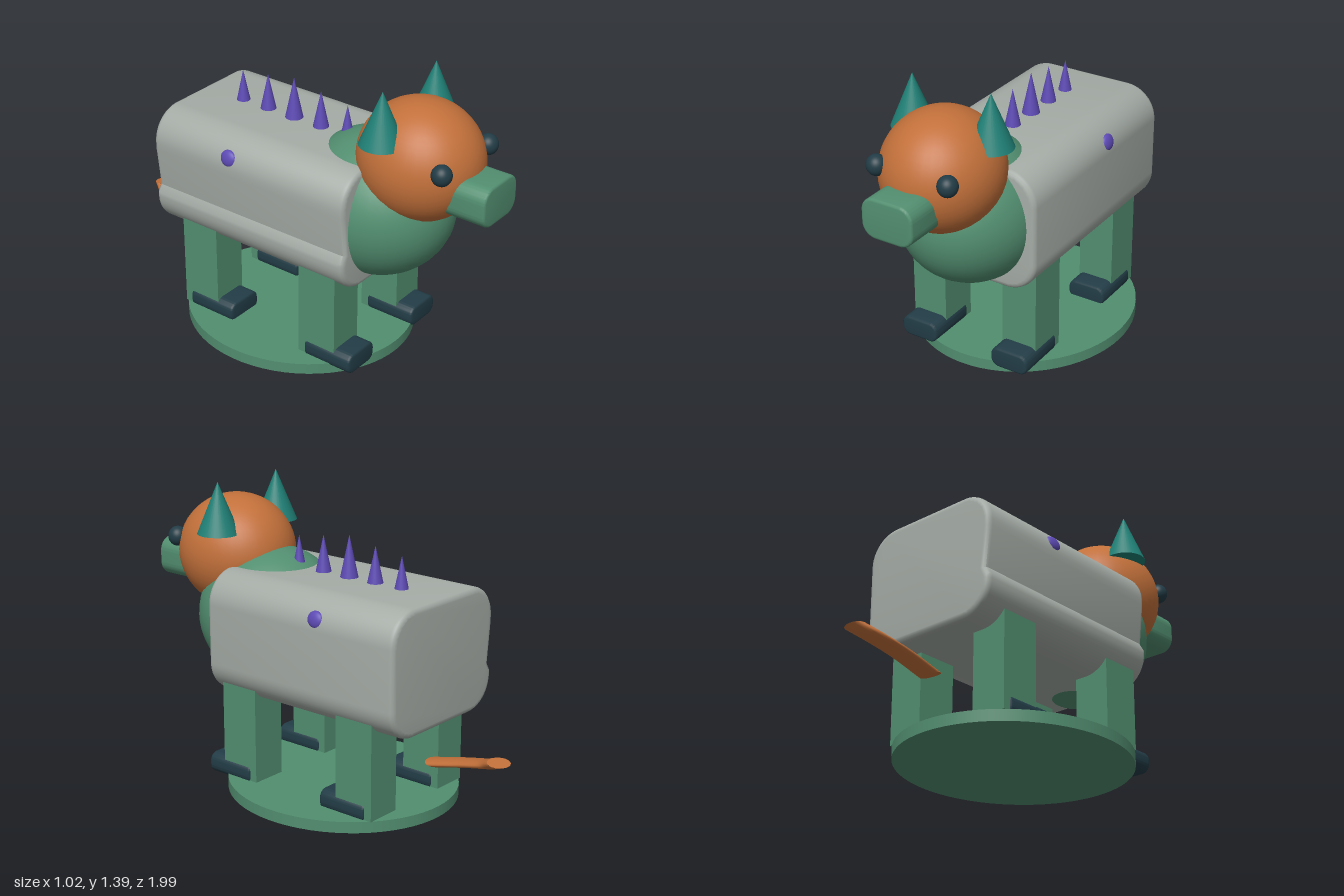
import * as THREE from 'three';
import { toCreasedNormals } from 'three/addons/utils/BufferGeometryUtils.js';

function flat(name, color) {
  const m = new THREE.MeshStandardMaterial({ color });
  m.name = name;
  return m;
}

// Rounded rectangle; notch points (if any) run up the -x side
function roundedRect(x0, x1, y0, y1, r, notch = []) {
  const s = new THREE.Shape();
  s.moveTo(x0 + r, y0);
  s.lineTo(x1 - r, y0);
  s.absarc(x1 - r, y0 + r, r, -Math.PI / 2, 0, false);
  s.absarc(x1 - r, y1 - r, r, 0, Math.PI / 2, false);
  s.absarc(x0 + r, y1 - r, r, Math.PI / 2, Math.PI, false);
  notch.forEach(([x, y]) => s.lineTo(x, y));
  s.absarc(x0 + r, y0 + r, r, Math.PI, Math.PI * 1.5, false);
  return s;
}

// Extrude a shape from z0 to z1 with softened rims that stay inside the outline
function softExtrude(shape, z0, z1, bevel) {
  const g = new THREE.ExtrudeGeometry(shape, {
    depth: z1 - z0 - 2 * bevel, curveSegments: 8, bevelEnabled: true,
    bevelThickness: bevel, bevelSize: bevel, bevelOffset: -bevel, bevelSegments: 3,
  });
  g.translate(0, 0, z0 + bevel);
  return toCreasedNormals(g, 0.6);
}

export function createModel() {
  const model = new THREE.Group();
  const green = flat('green', 0x528e70);
  const orange = flat('orange', 0xc2703a);
  const grey = flat('grey', 0xa5aca6);
  const dark = flat('dark slate', 0x223c46);
  const teal = flat('teal', 0x1f8076);
  const purple = flat('purple', 0x5d4ab4);

  function add(name, geometry, material, x = 0, y = 0, z = 0, parent = model) {
    const mesh = new THREE.Mesh(geometry, material);
    mesh.name = name;
    mesh.position.set(x, y, z);
    parent.add(mesh);
    return mesh;
  }
  const ball = (rx, ry, rz) => new THREE.SphereGeometry(1, 40, 28).scale(rx, ry, rz);

  // Oval stand
  add('base', new THREE.CylinderGeometry(1, 1, 0.052, 64).scale(0.508, 1, 0.55), green, 0, 0.026, -0.045);

  // Trunk with a groove along its -x side
  const trunk = roundedRect(-0.357, 0.357, 0.437, 1.01, 0.15, [[-0.357, 0.83], [-0.336, 0.64], [-0.357, 0.605]]);
  add('body', softExtrude(trunk, -0.61, 0.457, 0.025), grey);

  // Chest, head and snout
  add('chest', ball(0.324, 0.331, 0.362), green, 0, 0.75, 0.383);
  add('head', ball(0.265, 0.27, 0.284), orange, 0, 1.025, 0.602);
  add('snout', softExtrude(roundedRect(-0.126, 0.126, 0.858, 1.042, 0.065), 0.7, 1, 0.012), green);

  // Legs, feet, ears, eyes and side spots, mirrored
  for (const side of [-1, 1]) {
    for (const [place, z] of [['front', 0.297], ['back', -0.377]]) {
      add(place + 'Leg', new THREE.BoxGeometry(0.173, 0.458, 0.198), green, side * 0.24, 0.28, z);
      const foot = softExtrude(roundedRect(-0.094, 0.094, 0.032, 0.13, 0.04), -0.126, 0.126, 0.012);
      add(place + 'Foot', foot, dark, side * 0.241, 0, z + 0.063);
    }
    add('ear', new THREE.ConeGeometry(0.098, 0.238, 32), teal, side * 0.195, 1.267, 0.533);
    add('eye', ball(0.045, 0.047, 0.045), dark, side * 0.176, 1.087, 0.82);
    const spot = add('sideSpot', ball(0.02, 0.038, 0.042), purple, side * 0.34, 0.91, -0.177);
    spot.rotation.z = side * 0.25;
  }

  // Row of spikes along the back
  [[0.215, 1.155, 0.033], [0.07, 1.18, 0.039], [-0.08, 1.203, 0.044], [-0.228, 1.178, 0.039], [-0.374, 1.157, 0.034]]
    .forEach(([z, top, r]) => {
      const h = top - 0.995;
      add('backSpike', new THREE.ConeGeometry(r, h, 24), purple, 0, top - h / 2, z);
    });

  // Flattened curling tail with capped ends
  const tail = new THREE.Group();
  tail.name = 'tail';
  tail.scale.y = 0.26;
  model.add(tail);
  const path = new THREE.CatmullRomCurve3([
    new THREE.Vector3(0, 0.985, -0.57), new THREE.Vector3(0, 1.15, -0.745),
    new THREE.Vector3(0.02, 1.28, -0.87), new THREE.Vector3(0.06, 1.42, -0.947),
  ]);
  add('tailTube', new THREE.TubeGeometry(path, 28, 0.052, 20), orange, 0, 0, 0, tail);
  for (const t of [0, 1]) {
    const p = path.getPointAt(t);
    const out = path.getTangentAt(t).multiplyScalar(t ? 1 : -1);
    const cap = add('tailCap', new THREE.CircleGeometry(0.052, 20), orange, p.x, p.y, p.z, tail);
    cap.quaternion.setFromUnitVectors(new THREE.Vector3(0, 0, 1), out);
  }
  return model;
}
